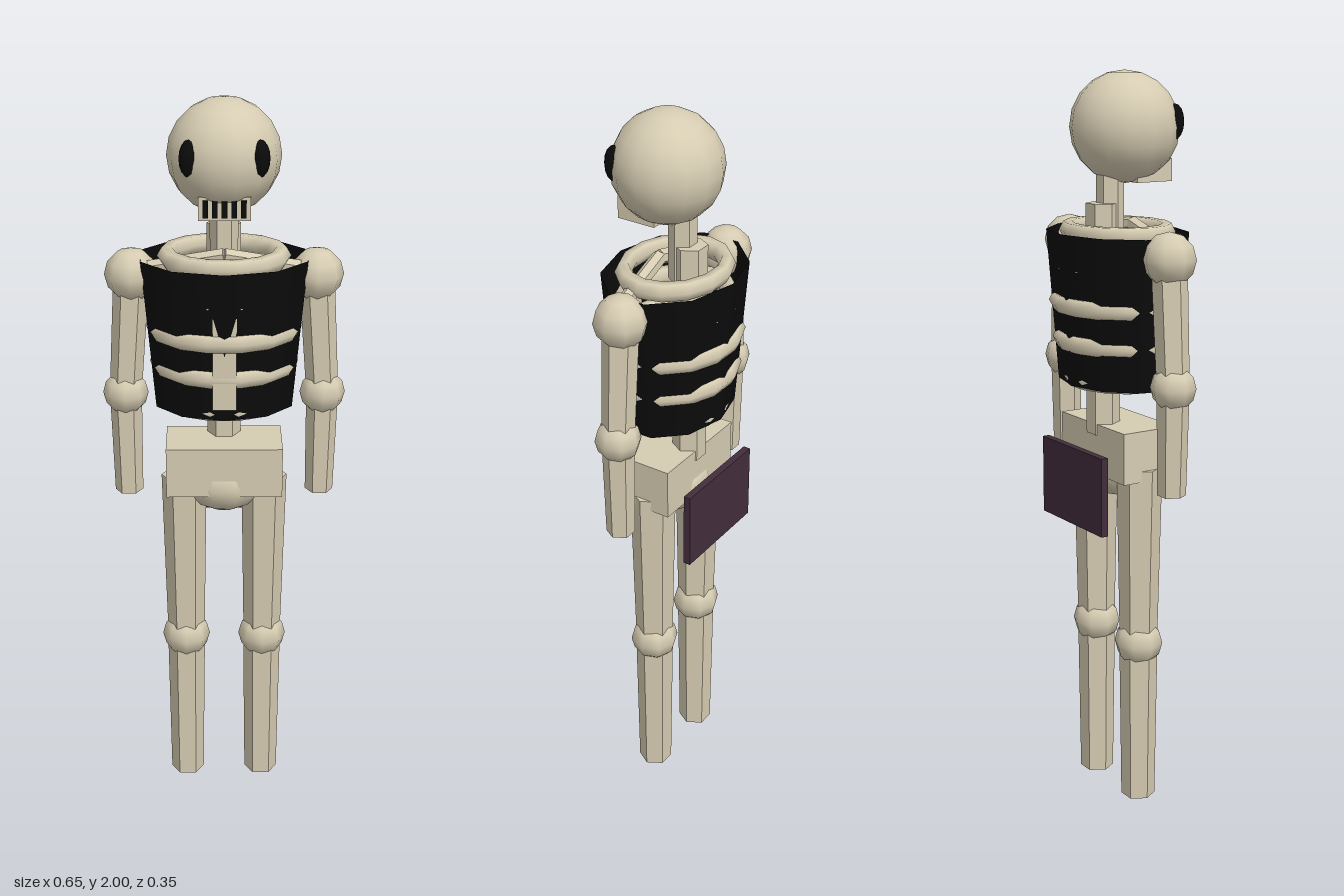
import * as THREE from 'three';

export function createModel() {
  const root = new THREE.Group();
  root.name = 'skeleton';

  const mat = (name, color) => {
    const m = new THREE.MeshStandardMaterial({ color });
    m.name = name;
    return m;
  };
  const bone = mat('bone', 0xd6ccb2);
  const dark = mat('black', 0x0b0b0b);
  const cloth = mat('dark purple cloth', 0x432d3c);
  dark.side = THREE.DoubleSide;

  const add = (name, geometry, material, x = 0, y = 0, z = 0) => {
    const mesh = new THREE.Mesh(geometry, material);
    mesh.name = name;
    mesh.position.set(x, y, z);
    root.add(mesh);
    return mesh;
  };
  const box = (name, w, h, d, material, x, y, z) =>
    add(name, new THREE.BoxGeometry(w, h, d), material, x, y, z);
  const ball = (name, r, material, x, y, z, ws = 8, hs = 6) =>
    add(name, new THREE.SphereGeometry(r, ws, hs), material, x, y, z);

  // Six-sided bone running from one point down to another, a corner facing x
  const limb = (name, top, bottom, rTop, rBottom) => {
    const a = new THREE.Vector3(...top), b = new THREE.Vector3(...bottom);
    const dir = a.clone().sub(b);
    const g = new THREE.CylinderGeometry(rTop, rBottom, dir.length(), 6);
    g.rotateY(Math.PI / 2);
    const flat = g.toNonIndexed();
    flat.computeVertexNormals();
    const mesh = add(name, flat, bone);
    mesh.position.copy(a).add(b).multiplyScalar(0.5);
    mesh.quaternion.setFromUnitVectors(new THREE.Vector3(0, 1, 0), dir.normalize());
    return mesh;
  };

  // Skull with eye sockets
  ball('skull', 0.146, bone, 0, 1.854, 0.023, 14, 10);
  for (const s of [-1, 1]) {
    ball('eyeSocket', 1, dark, s * 0.088, 1.868, 0.121, 10, 8).scale.set(0.025, 0.047, 0.027);
  }

  // Jaw with dark gaps between the teeth
  box('jaw', 0.132, 0.06, 0.11, bone, 0, 1.743, 0.075);
  for (let i = -2; i <= 2; i++) {
    box('toothGap', 0.014, 0.045, 0.006, dark, i * 0.024, 1.743, 0.131);
  }

  // Neck and spine
  limb('neck', [0, 1.77, -0.022], [0, 1.56, -0.022], 0.037, 0.037);
  limb('spine', [0, 1.66, -0.045], [0, 1.04, -0.045], 0.045, 0.045);

  // Open tapered torso shell
  const shell = new THREE.CylinderGeometry(0.227, 0.19, 0.405, 10, 1, true);
  shell.scale(1, 1, 0.76);
  add('torsoShell', shell, dark, 0, 1.3825, 0);

  // Ribs: height and outer radius
  const tube = 0.026;
  for (const [y, outer] of [[1.585, 0.175], [1.49, 0.193], [1.395, 0.208], [1.295, 0.198], [1.195, 0.172]]) {
    const g = new THREE.TorusGeometry(outer - tube, tube, 6, 14);
    g.rotateX(Math.PI / 2);
    g.scale(1, 1, 0.83);
    add('rib', g, bone, 0, y, 0);
  }

  // Breastbone
  box('sternum', 0.062, 0.25, 0.03, bone, 0, 1.34, 0.142);

  // Mirrored collarbones, arms and legs
  for (const s of [-1, 1]) {
    limb('collarbone', [0, 1.6, 0.05], [s * 0.22, 1.555, 0.02], 0.02, 0.02);
    ball('shoulder', 0.071, bone, s * 0.242, 1.535, 0);
    limb('upperArm', [s * 0.242, 1.535, 0], [s * 0.264, 1.205, 0], 0.047, 0.043);
    ball('elbow', 0.061, bone, s * 0.264, 1.205, 0);
    limb('forearm', [s * 0.264, 1.205, 0], [s * 0.261, 0.917, 0], 0.043, 0.038);
    limb('thigh', [s * 0.11, 0.96, 0], [s * 0.108, 0.46, 0], 0.062, 0.052);
    ball('knee', 0.067, bone, s * 0.108, 0.458, 0);
    limb('shin', [s * 0.108, 0.458, 0], [s * 0.108, 0, 0], 0.053, 0.047);
  }

  // Pelvis
  box('pelvis', 0.314, 0.14, 0.165, bone, 0, 1, 0.002);
  ball('pelvisBase', 1, bone, 0, 0.945, 0, 10, 8).scale.set(0.11, 0.085, 0.096);

  // Hanging cloth behind the pelvis
  box('backCloth', 0.3, 0.215, 0.02, cloth, 0, 0.903, -0.137);

  return root;
}
